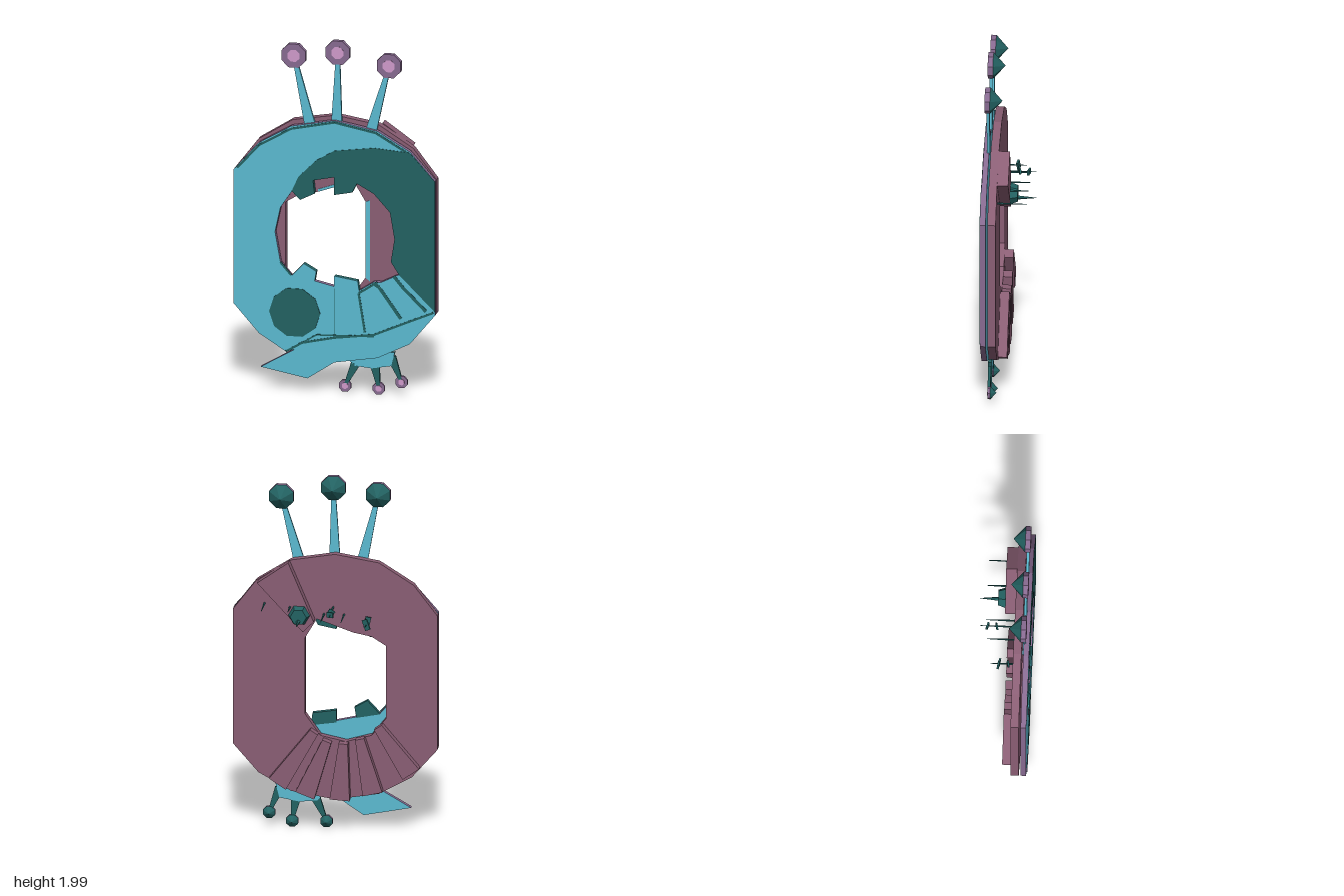
import * as THREE from 'three';

const mat = (name, color) => Object.assign(new THREE.MeshStandardMaterial({ color }), { name });

export function createModel() {
  const cyan = mat('cyan', 0x5bbad1), teal = mat('dark teal', 0x236262);
  const mauve = mat('mauve', 0x8a5e74), purple = mat('purple', 0x876a90);
  const pink = mat('pink', 0xcf9acb);
  const root = new THREE.Group();
  root.name = 'ringShip';

  const add = (name, geo, material, parent = root) => {
    const mesh = new THREE.Mesh(geo, material);
    mesh.name = name;
    parent.add(mesh);
    return mesh;
  };
  const vecs = (pts) => pts.map(([x, y]) => new THREE.Vector2(x, y));
  // flat outline extruded between two depths
  const slab = (name, pts, z0, z1, material, hole, parent) => {
    const shape = new THREE.Shape(vecs(pts));
    if (hole) shape.holes.push(new THREE.Path(vecs(hole)));
    const geo = new THREE.ExtrudeGeometry(shape, { depth: z1 - z0, bevelEnabled: false });
    return add(name, geo.translate(0, 0, z0), material, parent);
  };
  // tapered strip from a to b, with widths wa and wb
  const strip = ([ax, ay], [bx, by], wa, wb) => {
    const l = Math.hypot(bx - ax, by - ay), nx = -(by - ay) / l / 2, ny = (bx - ax) / l / 2;
    return [[ax + nx * wa, ay + ny * wa], [ax - nx * wa, ay - ny * wa],
      [bx - nx * wb, by - ny * wb], [bx + nx * wb, by + ny * wb]];
  };
  // faceted cylinder along z; r0 at the back, r1 at the front
  const drum = (name, x, y, z0, z1, r0, r1, sides, material, parent) => {
    const geo = new THREE.CylinderGeometry(r1, r0, z1 - z0, sides).rotateX(Math.PI / 2)
      .rotateZ(Math.PI / sides).translate(x, y, (z0 + z1) / 2).toNonIndexed();
    geo.computeVertexNormals();
    return add(name, geo, material, parent);
  };

  // rear ring
  const ringOuter = [[0, 1.57], [0.24, 1.53], [0.43, 1.41], [0.56, 1.24], [0.56, 0.48], [0.42, 0.32],
    [0.24, 0.22], [0, 0.18], [-0.24, 0.22], [-0.42, 0.32], [-0.56, 0.48], [-0.56, 1.24],
    [-0.43, 1.41], [-0.24, 1.53]];
  const ringHole = [[-0.28, 0.65], [-0.2, 0.55], [-0.06, 0.51], [0.08, 0.54], [0.165, 0.66],
    [0.165, 1.09], [0.1, 1.2], [0, 1.165], [-0.1, 1.13], [-0.2, 1.11], [-0.28, 1.06]];
  slab('rearRing', ringOuter, 0.06, 0.105, mauve, ringHole);
  slab('innerTrim', [[0.165, 0.66], [0.19, 0.64], [0.19, 1.1], [0.165, 1.09]], 0.105, 0.109, cyan);
  slab('upperTrim', [[-0.1, 1.13], [0, 1.165], [0, 1.18], [-0.1, 1.145]], 0.105, 0.109, cyan);

  // raised block and fan of slats on the back
  slab('rearBlock', [[0.11, 1.2], [0.17, 1.14], [0.42, 1.41], [0.25, 1.53]], 0, 0.06, mauve);
  [[[0.11, 0.57], [0.31, 0.27]], [[0.04, 0.52], [0.16, 0.21]], [[-0.05, 0.51], [-0.03, 0.19]],
    [[-0.14, 0.54], [-0.21, 0.23]], [[-0.24, 0.61], [-0.42, 0.35]]]
    .forEach(([a, b]) => slab('rearSlat', strip(a, b, 0.05, 0.11), 0.01, 0.06, mauve));

  // front plate with tail
  const plateOuter = [[0, 1.55], [0.24, 1.505], [0.42, 1.4], [0.56, 1.24], [0.56, 0.48], [0.42, 0.31],
    [0.24, 0.22], [0, 0.18], [-0.15, 0.08], [-0.41, 0.13], [-0.22, 0.24], [-0.27, 0.225],
    [-0.42, 0.32], [-0.56, 0.48], [-0.56, 1.24], [-0.42, 1.4], [-0.24, 1.505]];
  const plateHole = [[-0.3, 0.73], [-0.24, 0.66], [-0.11, 0.635], [0, 0.61], [0.13, 0.59], [0.22, 0.65],
    [0.26, 0.65], [0.36, 0.7], [0.315, 0.77], [0.335, 0.9], [0.31, 1.05], [0.22, 1.15], [0.12, 1.205],
    [0, 1.23], [-0.12, 1.205], [-0.24, 1.13], [-0.3, 1.04], [-0.33, 0.9]];
  slab('frontPlate', plateOuter, 0.115, 0.145, [cyan, purple], plateHole);

  // dark painted side
  slab('darkSide', [[-0.24, 1.13], [-0.2, 1.22], [-0.1, 1.32], [0, 1.38], [0.22, 1.41], [0.42, 1.395],
    [0.56, 1.24], [0.56, 0.5], [0.36, 0.7], [0.315, 0.77], [0.335, 0.9], [0.31, 1.05], [0.22, 1.15],
    [0.12, 1.205], [0, 1.23], [-0.12, 1.205]], 0.145, 0.148, teal);

  // upper and lower teeth
  [[[-0.24, 1.14], [-0.19, 1.09], [-0.11, 1.13], [-0.12, 1.22]],
    [[0, 1.24], [0, 1.13], [0.1, 1.15], [0.13, 1.21]]]
    .forEach((p) => slab('upperTooth', p, 0.114, 0.147, teal));
  [[[-0.24, 0.655], [-0.11, 0.63], [-0.1, 0.69], [-0.17, 0.73]],
    [[0, 0.6], [0.14, 0.58], [0.13, 0.65], [0, 0.67]]].forEach((p) => {
    slab('lowerTooth', p, 0.114, 0.144, teal);
    slab('lowerToothFace', p, 0.144, 0.147, cyan);
  });

  // painted seams
  const seam = (pts, w = 0.012) => pts.slice(1).forEach((b, i) =>
    slab('seam', strip(pts[i], b, w, w), 0.145, 0.147, teal));
  seam([[-0.3, 0.73], [-0.24, 0.66]]);
  seam([[0.24, 0.65], [0.135, 0.58], [0.17, 0.36]]);
  seam([[0.22, 0.64], [0.25, 0.62], [0.37, 0.45]], 0.018);
  seam([[0.33, 0.69], [0.38, 0.63], [0.51, 0.5]], 0.018);
  seam([[0, 0.6], [0, 0.32]], 0.004);
  seam([[-0.27, 0.225], [-0.18, 0.28], [0, 0.32], [0.22, 0.35], [0.4, 0.43], [0.55, 0.495]]);
  seam([[-0.18, 0.28], [-0.1, 0.33], [0.22, 0.34]], 0.008);
  seam([[-0.54, 1.25], [-0.42, 1.385], [-0.24, 1.49], [0, 1.54], [0.23, 1.495], [0.41, 1.39]]);
  drum('roundWindow', -0.22, 0.45, 0.144, 0.149, 0.142, 0.142, 10, teal);

  // stalk with octagonal head, pink lens and pointed back
  const stalk = (name, base, head, r, wa, wb, z, material) => {
    const g = new THREE.Group();
    g.name = name;
    root.add(g);
    slab('stem', strip(base, head, wa, wb), z - 0.008, z + 0.008, material, null, g);
    const [x, y] = head;
    drum('head', x, y, z - r * 0.2, z + r * 0.2, r, r, 8, purple, g);
    drum('lens', x, y, z + r * 0.2, z + r * 0.2 + 0.002, r * 0.5, r * 0.5, 8, pink, g);
    drum('headBack', x, y, z - r * 1.1, z - r * 0.2, 0.001, r, 8, teal, g);
  };
  stalk('topStalk', [-0.14, 1.51], [-0.23, 1.9], 0.072, 0.06, 0.02, 0.118, cyan);
  stalk('topStalk', [0.008, 1.52], [0.015, 1.932], 0.072, 0.06, 0.02, 0.118, cyan);
  stalk('topStalk', [0.2, 1.5], [0.3, 1.874], 0.072, 0.06, 0.02, 0.118, cyan);

  // underside mount with three small stalks
  slab('lowerMount', [[0.06, 0.21], [0.1, 0.16], [0.2, 0.15], [0.31, 0.17], [0.33, 0.25]], 0.095, 0.115,
    [cyan, teal]);
  stalk('lowerStalk', [0.11, 0.17], [0.052, 0.042], 0.036, 0.05, 0.014, 0.107, teal);
  stalk('lowerStalk', [0.22, 0.16], [0.24, 0.038], 0.036, 0.05, 0.014, 0.107, teal);
  stalk('lowerStalk', [0.31, 0.22], [0.366, 0.082], 0.036, 0.05, 0.014, 0.107, teal);

  // pod and aerials on the back
  drum('pod', 0.19, 1.235, -0.04, 0.002, 0.045, 0.06, 6, teal);
  drum('podHorn', 0.19, 1.21, -0.14, -0.035, 0.001, 0.012, 5, teal);
  [[-0.05, 1.23, -0.09, 0.06], [0.06, 1.23, -0.1, 0.06], [0.01, 1.27, -0.13, 0.06], [0.24, 1.28, -0.1, 0],
    [0.385, 1.28, -0.1, 0.06], [-0.18, 1.2, -0.065, 0.06]]
    .forEach(([x, y, z0, z1]) => drum('aerial', x, y, z0, z1, 0.002, 0.006, 5, teal));
  [[0.01, 1.27, -0.09], [0.01, 1.27, -0.04], [-0.18, 1.2, -0.02], [-0.18, 1.2, 0.03]].forEach(([x, y, z], i) => {
    const paddle = add('aerialPaddle', new THREE.BoxGeometry(i < 2 ? 0.035 : 0.06, 0.03, 0.01), teal);
    paddle.position.set(x, y, z);
    paddle.rotation.set(0, i % 2 ? 0.2 : -0.3, i * 0.6);
  });
  return root;
}
